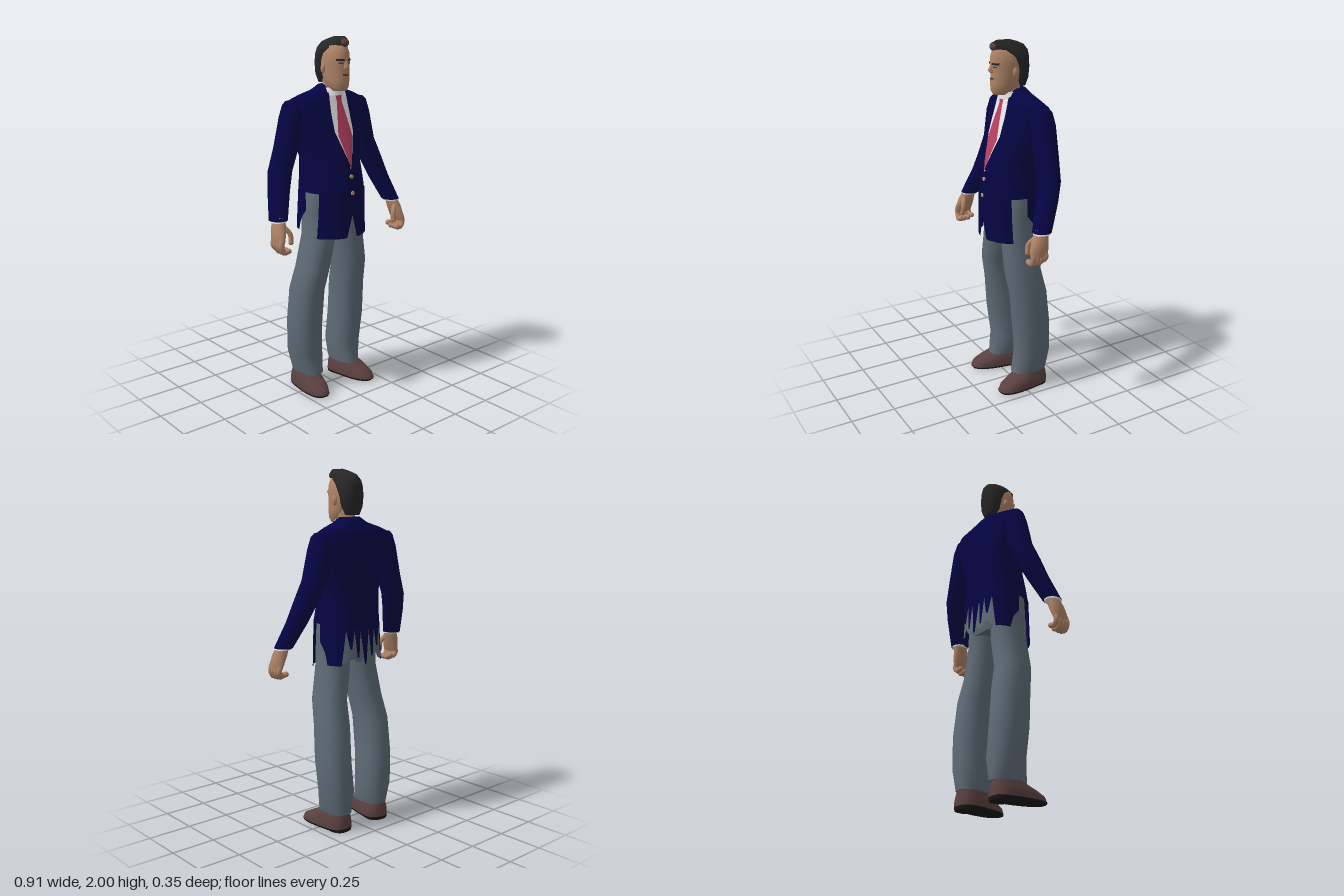
import * as THREE from 'three';

const paint = (name, color) => new THREE.MeshStandardMaterial({ name, color, side: THREE.DoubleSide });
const navy = paint('navy cloth', 0x050544);
const white = paint('white cotton', 0xe8e8e8);
const red = paint('red silk', 0xb8405f);
const grey = paint('grey trousers', 0x5f6b76);
const skin = paint('skin', 0xb08468);
const black = paint('black hair', 0x262626);
const brown = paint('brown leather', 0x5a4040);
const soleBlack = paint('black sole', 0x1a1616);
const gold = paint('brass', 0xc89a60);

function add(parent, name, geometry, material) {
  const mesh = new THREE.Mesh(geometry, material);
  mesh.name = name;
  parent.add(mesh);
  return mesh;
}

function build(pos, idx) {
  const g = new THREE.BufferGeometry();
  g.setAttribute('position', new THREE.Float32BufferAttribute(pos, 3));
  g.setIndex(idx);
  g.computeVertexNormals();
  return g;
}

// Horizontal rings listed from top to bottom: [y, cx, cz, rx, frontRadius, backRadius].
// ef and eb shape the front and back halves: 1 is round, less is boxier.
function loft(secs, ef = 1, eb = 1, n = 28) {
  const pos = [], idx = [], m = secs.length;
  const ring = ([y, cx, cz, rx, rf, rb]) => {
    for (let i = 0; i < n; i++) {
      const t = (i / n) * Math.PI * 2, c = Math.cos(t), s = Math.sin(t), e = s >= 0 ? ef : eb;
      pos.push(cx + rx * Math.sign(c) * Math.abs(c) ** e, y,
        cz + (s >= 0 ? rf : -rb) * Math.abs(s) ** e);
    }
  };
  secs.forEach(ring);
  for (let j = 0; j < m - 1; j++) {
    for (let i = 0; i < n; i++) {
      const a = j * n + i, b = j * n + (i + 1) % n;
      idx.push(a, b, a + n, b, b + n, a + n);
    }
  }
  // flat end caps
  for (const [s, up] of [[secs[0], true], [secs[m - 1], false]]) {
    const base = pos.length / 3;
    ring(s);
    pos.push(s[1], s[0], s[2]);
    for (let i = 0; i < n; i++) {
      const a = base + i, b = base + (i + 1) % n;
      idx.push(base + n, ...(up ? [b, a] : [a, b]));
    }
  }
  return build(pos, idx);
}

// Depth of a lofted surface at x, y; dir is 1 for the front, -1 for the back.
function depth(secs, x, y, dir, e) {
  let k = 0;
  while (k < secs.length - 2 && y < secs[k + 1][0]) k++;
  const A = secs[k], B = secs[k + 1];
  const f = THREE.MathUtils.clamp((A[0] - y) / (A[0] - B[0]), 0, 1);
  const [, cx, cz, rx, rf, rb] = A.map((v, i) => v + (B[i] - v) * f);
  const c = Math.min(1, Math.abs((x - cx) / rx)) ** (1 / e);
  return cz + dir * (dir > 0 ? rf : rb) * Math.sqrt(1 - c * c) ** e;
}

// Thin sheet lying on a lofted surface; rows from top to bottom: [y, xMin, xMax].
function patch(secs, rows, off, dir = 1, e = 1) {
  const pos = [], idx = [], cols = 8, sub = 8, total = (rows.length - 1) * sub;
  for (let r = 0; r <= total; r++) {
    const k = Math.min(Math.floor(r / sub), rows.length - 2), f = r / sub - k;
    const [y, x0, x1] = rows[k].map((v, i) => v + (rows[k + 1][i] - v) * f);
    for (let c = 0; c <= cols; c++) {
      const x = x0 + (x1 - x0) * c / cols;
      pos.push(x, y, depth(secs, x, y, dir, e) + dir * off);
    }
  }
  for (let r = 0; r < total; r++) {
    for (let c = 0; c < cols; c++) {
      const a = r * (cols + 1) + c, d = a + cols + 1;
      if (dir > 0) idx.push(a, d, a + 1, a + 1, d, d + 1);
      else idx.push(a, a + 1, d, a + 1, d + 1, d);
    }
  }
  return build(pos, idx);
}

const tube = (pts, r) => new THREE.TubeGeometry(
  new THREE.CatmullRomCurve3(pts.map(p => new THREE.Vector3(...p))), 10, r, 8);

const TORSO = [
  [1.745, 0, -0.03, 0.055, 0.045, 0.047], [1.715, 0, -0.025, 0.1, 0.062, 0.078],
  [1.69, 0, -0.05, 0.18, 0.095, 0.065], [1.66, 0, -0.06, 0.25, 0.11, 0.075],
  [1.58, 0, -0.06, 0.24, 0.135, 0.087], [1.45, 0, -0.05, 0.2, 0.165, 0.105],
  [1.35, 0, -0.03, 0.165, 0.175, 0.125], [1.26, 0, -0.01, 0.172, 0.172, 0.145],
  [1.17, 0, 0, 0.182, 0.173, 0.155]];
const SKIRT = [[1.18, 0, 0, 0.182, 0.173, 0.154], [0.92, 0, 0, 0.192, 0.173, 0.168]];
const HEAD = [
  [1.985, 0, 0.02, 0.02, 0.05, 0.06], [1.95, 0, 0.02, 0.054, 0.083, 0.09],
  [1.91, 0, 0.02, 0.067, 0.095, 0.1], [1.87, 0, 0.02, 0.07, 0.095, 0.1],
  [1.82, 0, 0.02, 0.068, 0.092, 0.08], [1.77, 0, 0.03, 0.063, 0.085, 0.07],
  [1.735, 0, 0.045, 0.053, 0.067, 0.06], [1.715, 0, 0.055, 0.035, 0.045, 0.045]];

function addJacket(g) {
  add(g, 'jacketBody', loft(TORSO, 1, 0.7, 40), navy);
  add(g, 'shirtFront', patch(TORSO,
    [[1.72, -0.06, 0.06], [1.5, -0.066, 0.066], [1.3, -0.002, 0.002]], 0.004), white);
  add(g, 'tie', patch(TORSO,
    [[1.7, -0.024, 0.024], [1.665, -0.016, 0.016], [1.48, -0.048, 0.048], [1.3, 0, 0]], 0.008), red);
  add(g, 'shirtCollar', loft([[1.73, 0, 0.005, 0.056, 0.053, 0.04],
    [1.69, 0, 0.005, 0.068, 0.058, 0.05]]), white);
  // jagged back hem over a grey lining
  const cuts = [-0.187, -0.12, -0.07, -0.03, 0.03, 0.07, 0.12, 0.187];
  const tips = [0.95, 1.04, 0.99, 0.95, 0.99, 1.04, 0.95];
  tips.forEach((tip, i) => {
    const a = cuts[i], b = cuts[i + 1], mid = (a + b) / 2;
    const low = i === 0 ? [a, a + 0.04] : i === 6 ? [b - 0.04, b] : [mid - 0.006, mid + 0.006];
    add(g, 'backHemPoint', patch(SKIRT, [[1.18, a, b], [1.14, a, b], [tip, ...low]], 0.001, -1, 0.7), navy);
  });
  for (const [a, b] of [[-0.17, -0.09], [-0.09, 0], [0, 0.09], [0.09, 0.17]]) {
    add(g, 'hemLining', patch(SKIRT, [[1.17, a, b], [1.0, a, b], [0.965, a + 0.03, b - 0.03]], -0.005, -1, 0.7), grey);
  }
  for (const y of [1.26, 1.17]) {
    const b = add(g, 'jacketButton', new THREE.CylinderGeometry(0.011, 0.011, 0.008, 12), gold);
    b.rotation.x = Math.PI / 2;
    b.position.set(0, y, depth(TORSO, 0, y, 1, 1) + 0.002);
  }
}

function addHead(g) {
  add(g, 'neck', loft([[1.79, 0, 0, 0.05, 0.05, 0.055], [1.69, 0, -0.005, 0.05, 0.048, 0.05]]), skin);
  add(g, 'head', loft(HEAD), skin);
  add(g, 'hair', loft([
    [2.0, 0.012, 0.06, 0.006, 0.03, 0.05], [1.988, 0.008, 0.03, 0.026, 0.08, 0.065],
    [1.97, 0.002, 0.01, 0.046, 0.106, 0.088], [1.94, 0, -0.005, 0.065, 0.1, 0.097],
    [1.91, 0, -0.025, 0.073, 0.075, 0.08], [1.86, 0, -0.045, 0.073, 0.06, 0.06],
    [1.8, 0, -0.05, 0.066, 0.045, 0.05], [1.755, 0, -0.055, 0.045, 0.03, 0.03]], 1.1), black);
  const quiff = add(g, 'quiff', new THREE.SphereGeometry(1, 12, 8), brown);
  quiff.scale.set(0.025, 0.022, 0.02);
  quiff.position.set(0.002, 1.967, 0.101);
  add(g, 'nose', loft([[1.875, 0, 0.11, 0.007, 0.006, 0.01], [1.845, 0, 0.11, 0.013, 0.024, 0.01],
    [1.832, 0, 0.11, 0.014, 0.012, 0.01]], 1, 1, 10), skin);
  add(g, 'mouth', patch(HEAD, [[1.806, -0.022, 0.022], [1.795, -0.018, 0.018]], 0.003), brown);
}

// Everything that comes in pairs, modelled on the left (+x); spread moves the lower leg outward.
function addSide(g, spread) {
  add(g, 'lapel', patch(TORSO,
    [[1.705, 0.058, 0.088], [1.6, 0.066, 0.125], [1.5, 0.064, 0.105], [1.31, 0, 0.015]], 0.007), navy);
  add(g, 'frontFlap', patch(SKIRT,
    [[1.18, 0, 0.16], [1.05, 0, 0.165], [0.92, 0.035, 0.172]], 0.001), navy);

  // arm
  add(g, 'sleeve', loft([
    [1.664, 0.224, -0.06, 0.042, 0.03, 0.035], [1.645, 0.226, -0.06, 0.055, 0.052, 0.055],
    [1.58, 0.236, -0.06, 0.064, 0.068, 0.07], [1.42, 0.272, -0.06, 0.07, 0.066, 0.066],
    [1.3, 0.325, -0.045, 0.068, 0.062, 0.062], [1.2, 0.357, -0.015, 0.061, 0.057, 0.058],
    [1.06, 0.405, 0.043, 0.05, 0.052, 0.052]], 1, 1, 20), navy);
  add(g, 'shirtCuff', loft([[1.08, 0.4, 0.04, 0.046, 0.047, 0.047],
    [1.052, 0.408, 0.046, 0.045, 0.047, 0.047]], 1, 1, 18), white);
  add(g, 'palm', loft([
    [1.07, 0.405, 0.048, 0.032, 0.036, 0.036], [1.02, 0.417, 0.06, 0.035, 0.05, 0.046],
    [0.97, 0.428, 0.072, 0.027, 0.056, 0.053], [0.935, 0.434, 0.076, 0.016, 0.052, 0.048]], 1, 1, 16), skin);
  [0.04, 0.065, 0.09, 0.113].forEach((z, i) => {
    const low = 0.898 + (i === 0 ? 0.012 : 0);
    add(g, 'finger', tube([[0.43, 0.965, z], [0.438, 0.93, z], [0.42, low, z + 0.002], [0.392, low + 0.004, z + 0.002]], 0.0155), skin);
    add(g, 'fingertip', new THREE.SphereGeometry(0.0155, 8, 6), skin).position.set(0.392, low + 0.004, z + 0.002);
  });
  add(g, 'thumb', tube([[0.402, 1.03, 0.085], [0.374, 0.99, 0.105], [0.373, 0.945, 0.11]], 0.014), skin);
  add(g, 'thumbTip', new THREE.SphereGeometry(0.014, 8, 6), skin).position.set(0.373, 0.945, 0.11);

  // leg
  add(g, 'trouserLeg', loft([
    [1.04, 0.094, 0, 0.088, 0.1, 0.105], [0.92, 0.098, 0, 0.085, 0.102, 0.106],
    [0.74, 0.127 + spread / 2, -0.012, 0.085, 0.112, 0.1], [0.6, 0.136 + spread, -0.04, 0.088, 0.112, 0.106],
    [0.4, 0.142 + spread, -0.055, 0.089, 0.111, 0.111], [0.22, 0.131 + spread, -0.066, 0.094, 0.1, 0.105],
    [0.1, 0.125 + spread, -0.055, 0.07, 0.112, 0.104]], 0.9, 0.9, 24), grey);

  // shoe, toe turned slightly out
  const shoe = new THREE.Group();
  shoe.name = 'shoe';
  shoe.position.set(0.133 + spread, 0, -0.07);
  shoe.rotation.y = 0.15;
  g.add(shoe);
  add(shoe, 'shoeUpper', loft([
    [0.135, 0, 0, 0.052, 0.07, 0.07], [0.1, 0, 0, 0.06, 0.1, 0.08], [0.07, 0, 0, 0.07, 0.17, 0.085],
    [0.045, 0, 0, 0.074, 0.22, 0.088], [0.018, 0, 0, 0.074, 0.233, 0.088]], 0.75, 0.85, 24), brown);
  add(shoe, 'sole', loft([[0.018, 0, 0, 0.075, 0.235, 0.089],
    [0.008, 0, 0, 0.072, 0.23, 0.087]], 0.75, 0.85, 24), soleBlack);
  add(shoe, 'heel', loft([[0.02, 0, -0.03, 0.065, 0.045, 0.058],
    [0, 0, -0.03, 0.063, 0.045, 0.056]], 0.4, 0.85, 24), soleBlack);

  // face
  const ear = add(g, 'ear', new THREE.SphereGeometry(1, 10, 8), skin);
  ear.scale.set(0.012, 0.027, 0.016);
  ear.position.set(0.071, 1.833, 0.008);
  add(g, 'eyebrow', patch(HEAD, [[1.884, 0.014, 0.05], [1.874, 0.01, 0.048]], 0.004), black);
  add(g, 'eye', patch(HEAD, [[1.866, 0.018, 0.04], [1.859, 0.018, 0.04]], 0.003), brown);
}

export function createModel() {
  const model = new THREE.Group();
  model.name = 'suitedMan';
  addJacket(model);
  addHead(model);
  add(model, 'trouserHips', loft([
    [1.25, 0, 0, 0.16, 0.1, 0.1], [1.15, 0, 0, 0.178, 0.115, 0.13],
    [1.05, 0, 0, 0.182, 0.11, 0.13], [0.97, 0, 0, 0.178, 0.098, 0.11]], 0.8, 0.8), grey);
  for (const side of [1, -1]) {
    const half = new THREE.Group();
    half.name = side > 0 ? 'leftParts' : 'rightParts';
    half.scale.x = side;
    addSide(half, side > 0 ? 0 : 0.02);
    model.add(half);
  }
  return model;
}
